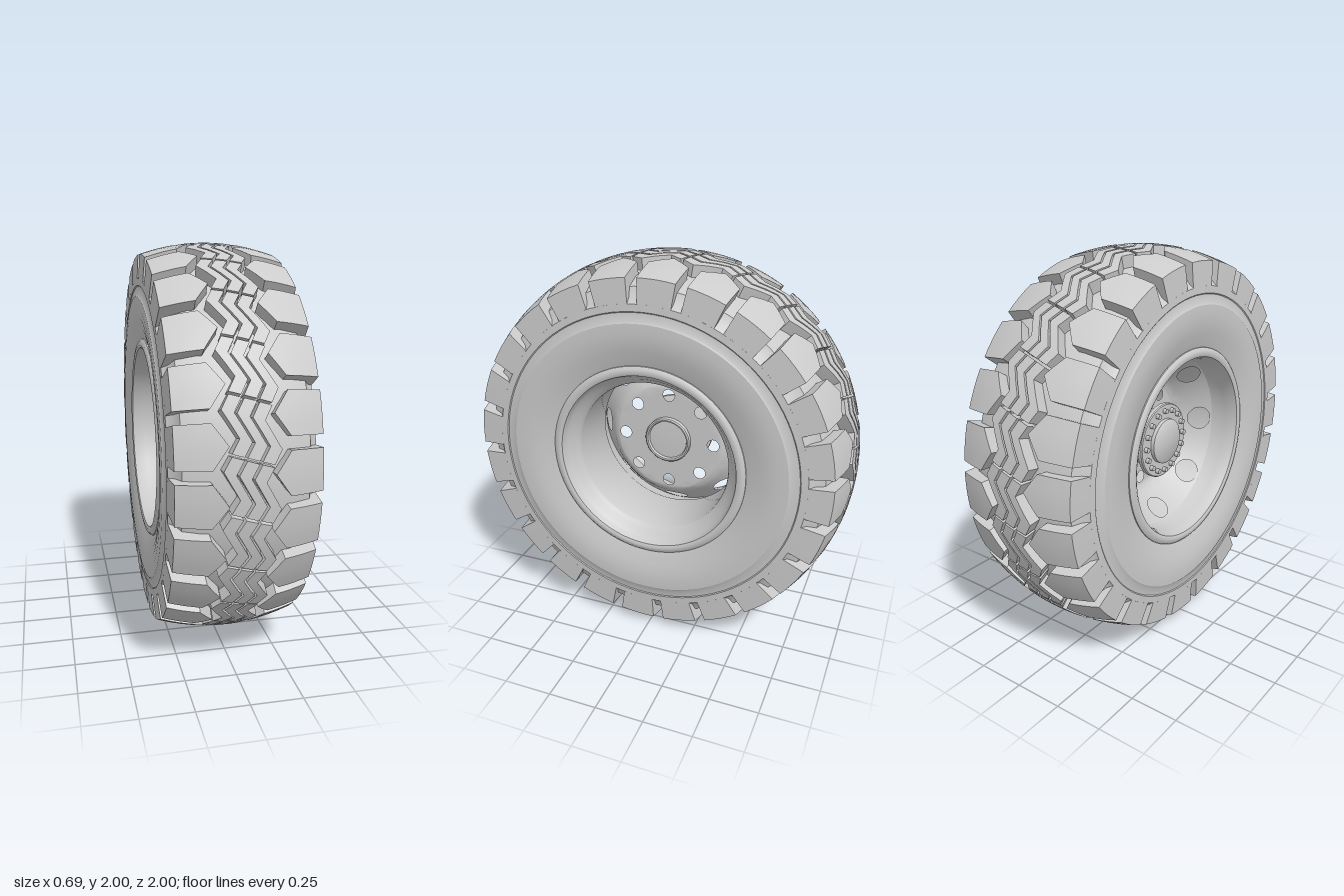
import * as THREE from 'three';
import { mergeGeometries, mergeVertices, toCreasedNormals } from 'three/addons/utils/BufferGeometryUtils.js';

const PITCHES = 24;
const PITCH = (Math.PI * 2) / PITCHES;
const material = new THREE.MeshStandardMaterial({ color: 0xcccccc });
const thinMaterial = new THREE.MeshStandardMaterial({ color: 0xcccccc, side: THREE.DoubleSide });

function addMesh(parent, name, geometry, mat = material) {
  const mesh = new THREE.Mesh(geometry, mat);
  mesh.name = name;
  parent.add(mesh);
  return mesh;
}

// Revolves [radius, x] points around the x axis
function revolve(points, crease = 0.5, segments = 96) {
  const geometry = new THREE.LatheGeometry(points.map(([r, x]) => new THREE.Vector2(r, x)), segments);
  geometry.rotateZ(-Math.PI / 2);
  return toCreasedNormals(geometry, crease);
}

// Tread crown: radius falls off toward the shoulders
const crown = (x) => 1 - 0.055 * (x / 0.325) ** 2;

// Tread block: a box wrapped round the tyre; rule(u, v, isTop) gives x and angle
function treadBlock(nu, nv, baseRadius, rule) {
  const geometry = new THREE.BoxGeometry(1, 1, 1, nu, 1, nv);
  const p = geometry.attributes.position;
  for (let i = 0; i < p.count; i++) {
    const isTop = p.getY(i) > 0;
    const [x, angle] = rule(p.getX(i) + 0.5, -p.getZ(i), isTop);
    const r = isTop ? crown(x) : baseRadius;
    p.setXYZ(i, x, r * Math.sin(angle), r * Math.cos(angle));
  }
  return toCreasedNormals(geometry, 0.4);
}

// Shoulder lug: pointed toward the middle, straight at the sidewall
function shoulderLug() {
  return treadBlock(4, 4, 0.825, (u, v, isTop) => {
    const inner = 0.1 + 0.14 * Math.abs(v);
    const outer = isTop ? 0.325 : 0.333;
    return [THREE.MathUtils.lerp(inner, outer, u), v * PITCH * 0.77];
  });
}

// One pitch of a zigzag rib, with slanted ends
function zigzagRib(offset, width) {
  return treadBlock(1, 4, 0.92, (u, v) => {
    const zigzag = Math.abs(v) > 0.25 ? Math.sign(v) * (2 - 4 * Math.abs(v)) : 4 * v;
    const x = offset + (u - 0.5) * width;
    return [x - 0.035 * zigzag, v * PITCH * 0.955 - x * 0.3];
  });
}

// Height of the wheel disc along x: flat middle, then a cone to the rim
function discX(r) {
  const t = Math.max(0, r - 0.28);
  return -Math.min(t * t * 9, 0.0225) - Math.max(0, t - 0.05) * 1.25;
}

// Band of the wheel disc with eight holes, as rings growing from hole to sector edge
function discBand(r0, r1, holeAt, holeRadial, holeAcross) {
  const sectors = [];
  for (let k = 0; k < 8; k++) {
    const geometry = new THREE.PlaneGeometry(1, 1, 32, 5);
    const p = geometry.attributes.position;
    for (let i = 0; i < p.count; i++) {
      const a = (p.getX(i) + 0.5) * Math.PI * 2;
      const s = p.getY(i) + 0.5;
      const c = Math.cos(a), n = Math.sin(a);
      const stretch = 1 / Math.max(Math.abs(c), Math.abs(n));
      const edgeR = (r0 + r1) / 2 + ((r1 - r0) / 2) * c * stretch;
      const edgeA = (Math.PI / 8) * n * stretch;
      const r = THREE.MathUtils.lerp(holeAt + holeRadial * c, edgeR, s);
      const angle = THREE.MathUtils.lerp((holeAcross * n) / holeAt, edgeA, s) + (k * Math.PI) / 4;
      p.setXYZ(i, discX(r), r * Math.sin(angle), r * Math.cos(angle));
    }
    geometry.deleteAttribute('uv');
    geometry.deleteAttribute('normal');
    sectors.push(geometry);
  }
  const band = mergeVertices(mergeGeometries(sectors), 1e-4);
  band.computeVertexNormals();
  return band;
}

export function createModel() {
  const model = new THREE.Group();
  model.name = 'wheel';
  const wheel = new THREE.Group();
  wheel.name = 'wheelAssembly';
  wheel.position.y = 1;
  model.add(wheel);

  // Tyre body, mirrored half profile from crown to bead
  const half = [
    [0.925, 0.2], [0.895, 0.283], [0.85, 0.303], [0.825, 0.333], [0.79, 0.335],
    [0.785, 0.331], [0.745, 0.337], [0.735, 0.344], [0.69, 0.346], [0.64, 0.342],
    [0.59, 0.332], [0.55, 0.32], [0.52, 0.312], [0.49, 0.3],
  ];
  const tyre = [...half.map(([r, x]) => [r, -x]).reverse(), [0.942, 0], ...half];
  addMesh(wheel, 'tyreBody', revolve(tyre));

  // Tread: staggered shoulder lugs and three zigzag ribs
  const tread = new THREE.Group();
  tread.name = 'tread';
  wheel.add(tread);
  const leftLug = shoulderLug();
  const rightLug = leftLug.clone().rotateZ(Math.PI);
  const ribs = [-0.065, 0, 0.065].map((offset) => zigzagRib(offset, 0.053));
  for (let k = 0; k < PITCHES; k++) {
    const turn = k * PITCH;
    addMesh(tread, 'leftShoulderLug', leftLug).rotation.x = turn - PITCH / 4;
    addMesh(tread, 'rightShoulderLug', rightLug).rotation.x = turn + PITCH / 4;
    ribs.forEach((rib) => { addMesh(tread, 'centreRib', rib).rotation.x = turn; });
  }

  // Rim: rounded lips and a barrel that is wider on the shallow side
  addMesh(wheel, 'rim', revolve([
    [0.52, 0.295], [0.518, 0.317], [0.505, 0.328], [0.485, 0.331], [0.472, 0.325], [0.464, 0.305],
    [0.458, 0.288], [0.438, 0.275], [0.425, 0.255], [0.41, 0.245], [0.405, 0.23], [0.405, -0.06],
    [0.45, -0.13], [0.455, -0.26], [0.464, -0.3], [0.472, -0.325], [0.485, -0.331],
    [0.505, -0.328], [0.518, -0.317], [0.52, -0.295],
  ], 0.7), thinMaterial);

  // Wheel disc with bolt holes and hand holes
  addMesh(wheel, 'discCentre', discBand(0.115, 0.3, 0.25, 0.033, 0.033), thinMaterial);
  addMesh(wheel, 'discCone', discBand(0.3, 0.457, 0.405, 0.04, 0.064), thinMaterial);

  // Hub with flange and cap
  addMesh(wheel, 'hub', revolve([
    [0, -0.185], [0.105, -0.185], [0.12, -0.175], [0.12, -0.155], [0.195, -0.155], [0.2, -0.15],
    [0.2, -0.13], [0.15, -0.11], [0.15, -0.005], [0.125, -0.005], [0.125, 0.025], [0.118, 0.03],
    [0.11, 0.028], [0.105, 0.015], [0, 0.02],
  ], 0.6, 48));

  // Flange bolts
  const bolt = new THREE.CylinderGeometry(0.014, 0.014, 0.03, 8).rotateZ(Math.PI / 2);
  for (let k = 0; k < 16; k++) {
    const a = (k / 16) * Math.PI * 2;
    addMesh(wheel, 'hubBolt', bolt).position.set(-0.16, 0.165 * Math.sin(a), 0.165 * Math.cos(a));
  }
  return model;
}
